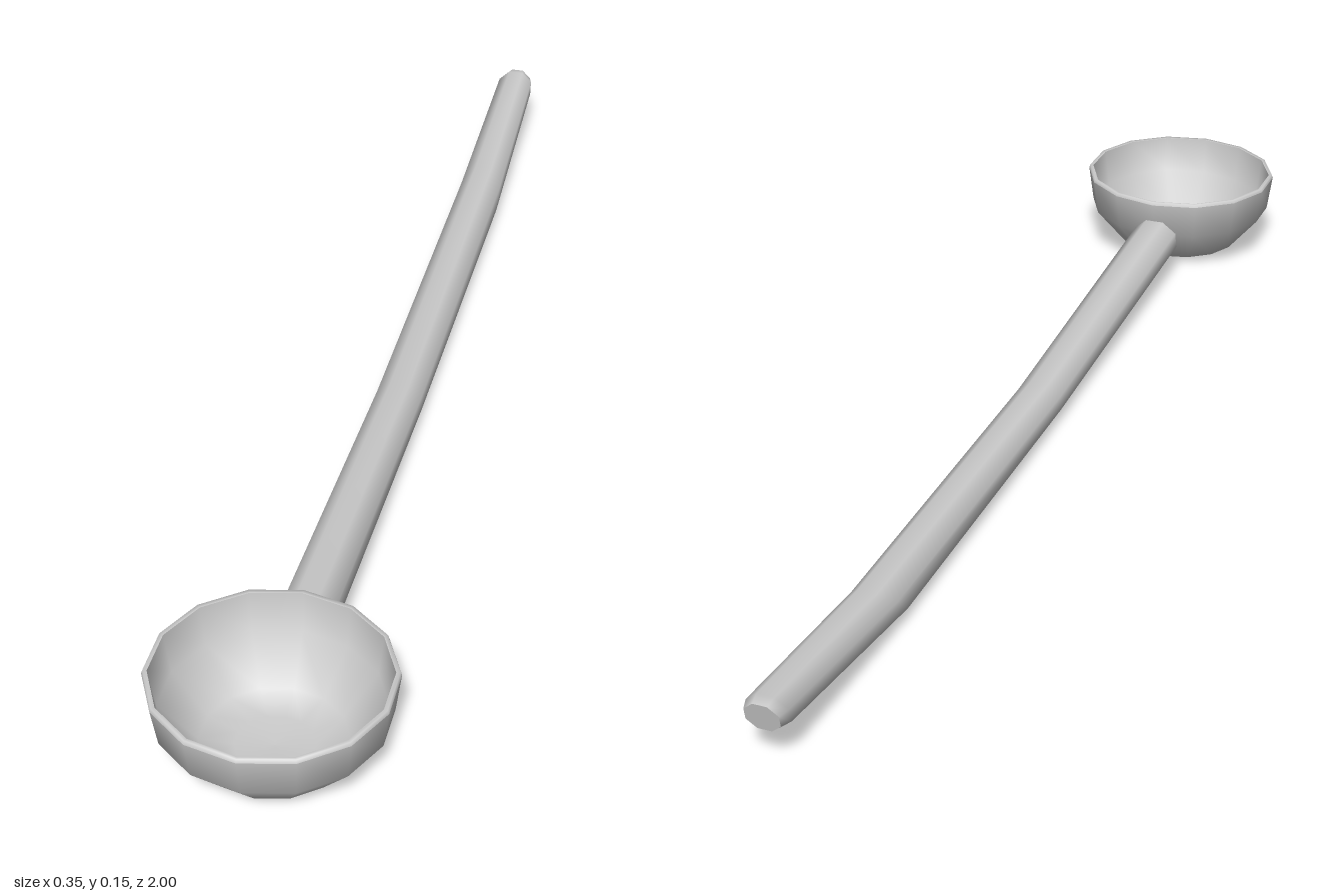
import * as THREE from 'three';

const material = new THREE.MeshStandardMaterial({ color: 0xcccccc, side: THREE.DoubleSide });

// Skins a closed tube through rings of [z, y, halfWidth, halfHeight, zLean], with flat end caps.
function loft(rings, sides) {
  const pos = [], index = [];
  const addRing = ([z, y, w, h, lean]) => {
    for (let i = 0; i < sides; i++) {
      const a = ((i + 0.5) / sides) * Math.PI * 2;
      const k = 1 / Math.cos(Math.PI / sides);
      const s = Math.sin(a) * k;
      pos.push(-0.004 + Math.cos(a) * k * w, y + s * h, z + s * lean);
    }
  };
  rings.forEach(addRing);
  for (let r = 0; r < rings.length - 1; r++) {
    for (let i = 0; i < sides; i++) {
      const j = (i + 1) % sides;
      const a = r * sides + i, b = r * sides + j;
      index.push(a, a + sides, b, b, a + sides, b + sides);
    }
  }
  // Caps use their own vertices so the ends stay crisp
  const first = pos.length / 3;
  addRing(rings[0]);
  const last = pos.length / 3;
  addRing(rings[rings.length - 1]);
  for (let i = 1; i < sides - 1; i++) {
    index.push(first, first + i, first + i + 1, last, last + i + 1, last + i);
  }
  const g = new THREE.BufferGeometry();
  g.setAttribute('position', new THREE.Float32BufferAttribute(pos, 3));
  g.setIndex(index);
  g.computeVertexNormals();
  return g;
}

export function createModel() {
  const group = new THREE.Group();
  group.name = 'ladle';
  const add = (name, geometry) => {
    const mesh = new THREE.Mesh(geometry, material);
    mesh.name = name;
    group.add(mesh);
    return mesh;
  };
  const lathe = (points) =>
    new THREE.LatheGeometry(points.map(([r, y]) => new THREE.Vector2(r, y)), 14);

  // Bowl: thin outer and inner shells joined by a narrow rim
  const bowlParts = [
    add('bowlOuter', lathe([[0, 0.012], [0.06, 0.014], [0.113, 0.024], [0.171, 0.092], [0.18, 0.156]])),
    add('bowlInner', lathe([[0.172, 0.161], [0.163, 0.095], [0.108, 0.031], [0.058, 0.021], [0, 0.019]])),
    add('bowlRim', lathe([[0.18, 0.156], [0.178, 0.162], [0.172, 0.161]])),
  ];
  for (const part of bowlParts) {
    part.position.z = 0.827;
    part.scale.z = 0.962;
  }

  // Handle: faceted rod, dipping in the middle and turning up at the far end
  add('handle', loft([
    [0.666, 0.086, 0.04, 0.038, -0.012],
    [0.04, 0.05, 0.038, 0.032, -0.002],
    [-0.62, 0.05, 0.037, 0.039, -0.04],
    [-0.975, 0.094, 0.032, 0.028, -0.006],
    [-0.994, 0.095, 0.026, 0.023, -0.005],
  ], 8));

  return group;
}
